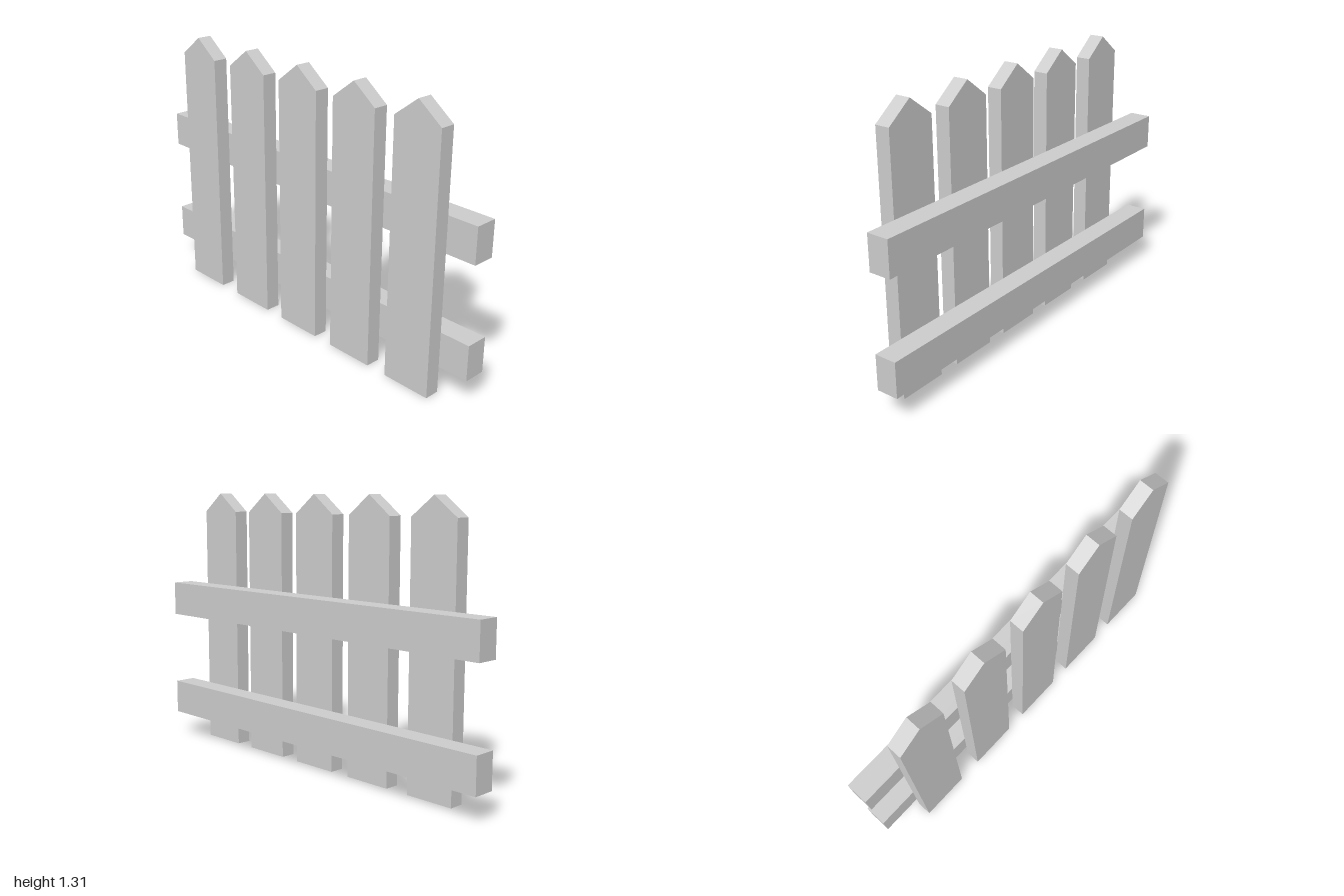
import * as THREE from 'three';

export function createModel() {
  const fence = new THREE.Group();
  fence.name = 'picketFence';
  const material = new THREE.MeshStandardMaterial({ color: 0xcccccc, flatShading: true });

  // Pointed pickets, standing in front of the rails
  const halfWidth = 0.1215, shoulder = 1.215, peak = 1.307;
  const outline = new THREE.Shape([
    new THREE.Vector2(-halfWidth, 0),
    new THREE.Vector2(halfWidth, 0),
    new THREE.Vector2(halfWidth, shoulder),
    new THREE.Vector2(0, peak),
    new THREE.Vector2(-halfWidth, shoulder),
  ]);
  const picketGeometry = new THREE.ExtrudeGeometry(outline, { depth: 0.072, bevelEnabled: false });
  [-0.676, -0.313, 0.035, 0.382, 0.73].forEach((x, i) => {
    const picket = new THREE.Mesh(picketGeometry, material);
    picket.name = `picket${i + 1}`;
    picket.position.set(x, 0, 0.018);
    fence.add(picket);
  });

  // Two horizontal rails across the back
  const railGeometry = new THREE.BoxGeometry(2, 0.17, 0.108);
  [['lowerRail', 0.21], ['upperRail', 0.749]].forEach(([name, y]) => {
    const rail = new THREE.Mesh(railGeometry, material);
    rail.name = name;
    rail.position.set(0, y, -0.036);
    fence.add(rail);
  });

  return fence;
}
